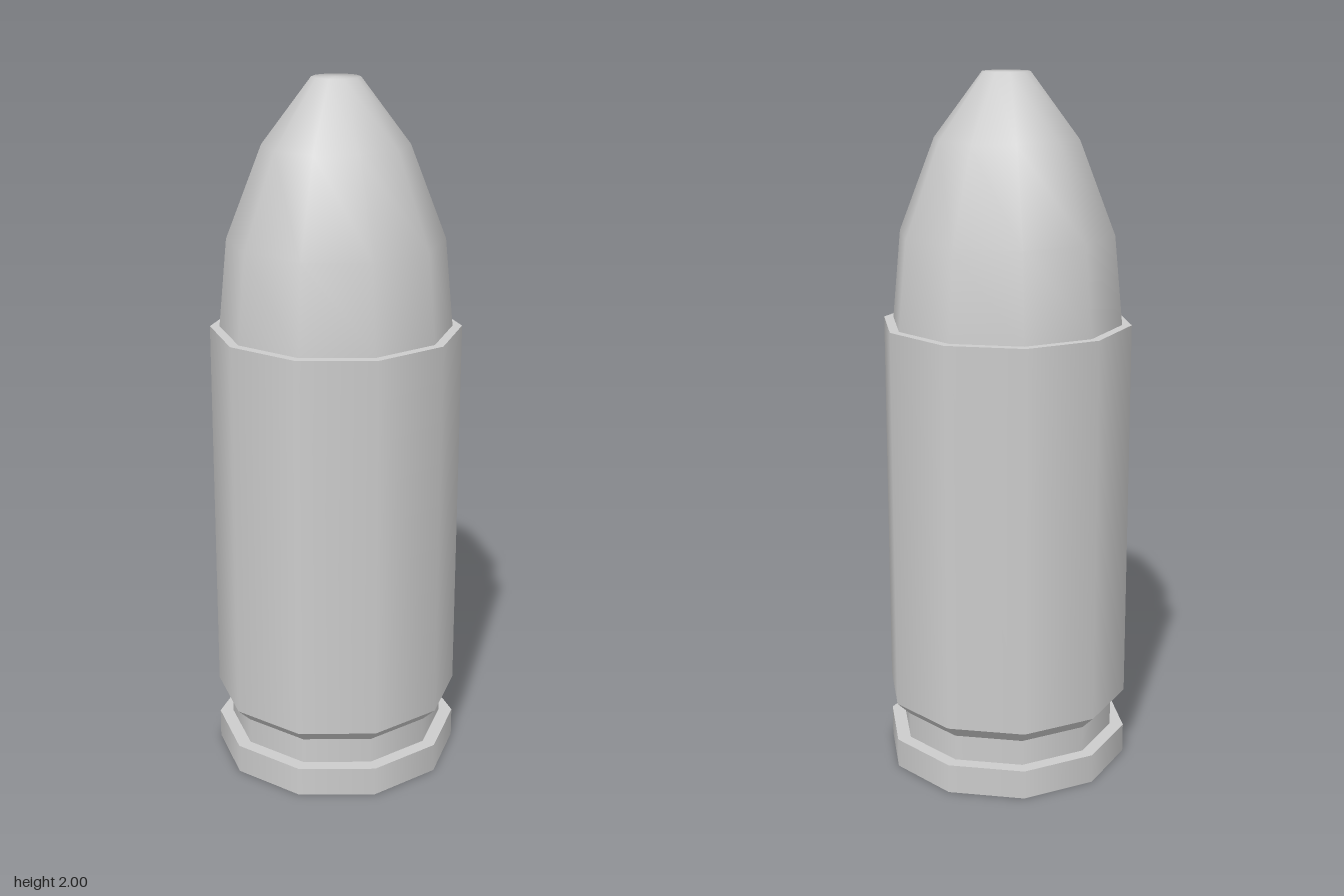
import * as THREE from 'three';
import { mergeGeometries } from 'three/addons/utils/BufferGeometryUtils.js';

const SIDES = 10;

// Ten-sided turned surface, smooth all over; profile runs bottom to top
function turned(profile) {
  return new THREE.LatheGeometry(profile.map(([r, y]) => new THREE.Vector2(r, y)), SIDES);
}

// Same, but with a sharp edge at every step of the profile
function turnedCreased(profile) {
  const bands = [];
  for (let i = 0; i < profile.length - 1; i++) bands.push(turned([profile[i], profile[i + 1]]));
  return mergeGeometries(bands);
}

export function createModel() {
  const group = new THREE.Group();
  group.name = 'cartridge';
  const material = new THREE.MeshStandardMaterial({ color: 0xcccccc });

  const add = (name, geometry) => {
    const mesh = new THREE.Mesh(geometry, material);
    mesh.name = name;
    group.add(mesh);
  };

  // Casing: base rim, extractor groove, bevel, straight wall and mouth
  add('casing', turnedCreased([
    [0, 0], [0.355, 0], [0.355, 0.085], [0.315, 0.085],
    [0.315, 0.16], [0.355, 0.2], [0.355, 1.31], [0.328, 1.31],
  ]));

  // Bullet: smooth ogive with a blunt tip
  add('bullet', turned([
    [0.328, 1.31], [0.304, 1.56], [0.203, 1.82], [0.067, 2], [0, 2],
  ]));

  return group;
}
